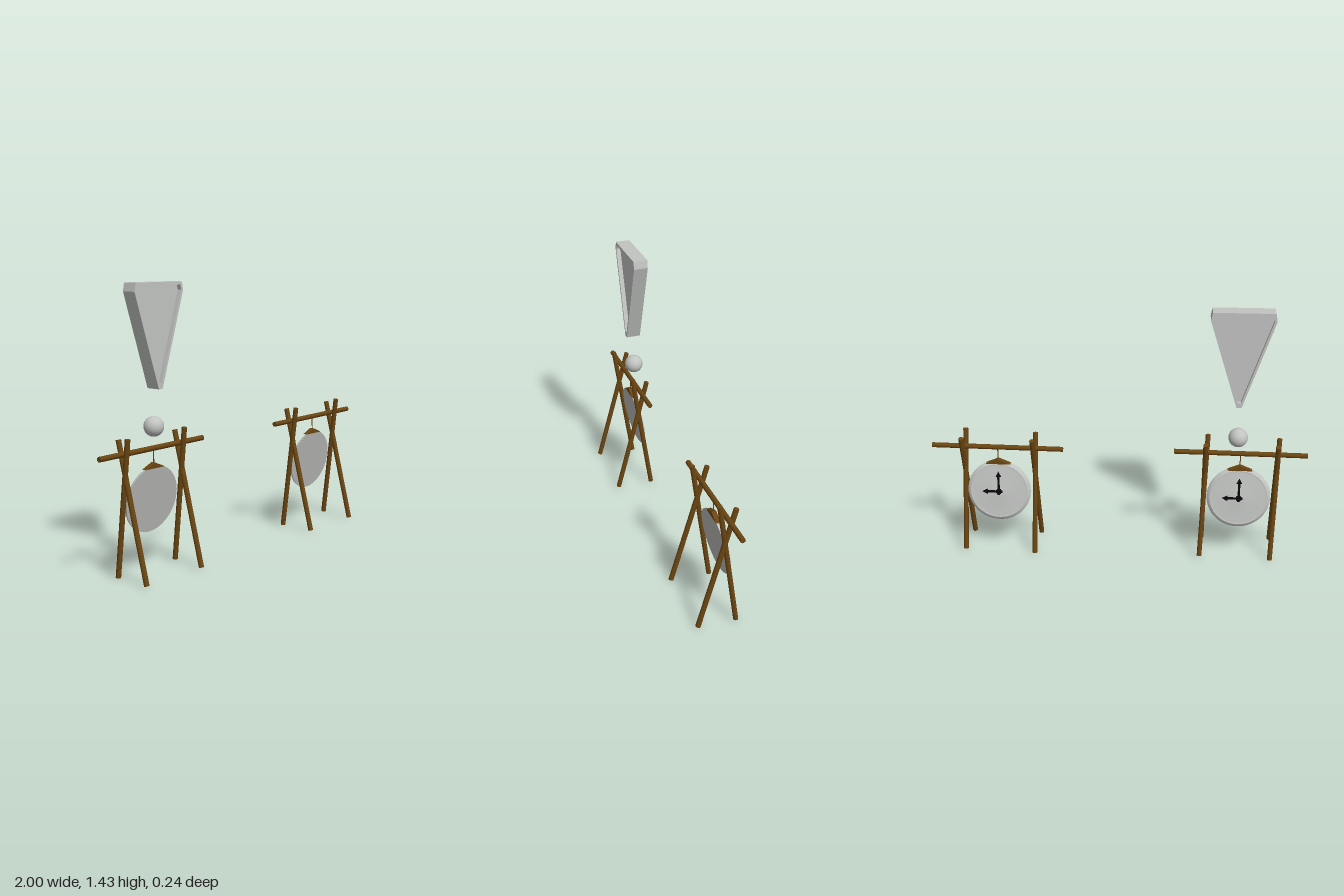
import * as THREE from 'three';

const wood = new THREE.MeshStandardMaterial({ name: 'brown wood', color: 0x6b4612 });
const grey = new THREE.MeshStandardMaterial({ name: 'light grey', color: 0xc2c4c2 });
const faceGrey = new THREE.MeshStandardMaterial({ name: 'plate grey', color: 0xb8bab7 });
const black = new THREE.MeshStandardMaterial({ name: 'black', color: 0x080808 });

function mesh(name, geometry, material, parent) {
  const m = new THREE.Mesh(geometry, material);
  m.name = name;
  parent.add(m);
  return m;
}

// Round pole between two points
function pole(name, a, b, radius, parent, sides = 10) {
  const start = new THREE.Vector3(...a), end = new THREE.Vector3(...b);
  const dir = end.clone().sub(start);
  const m = mesh(name, new THREE.CylinderGeometry(radius, radius, dir.length(), sides), wood, parent);
  m.position.copy(start).add(end).multiplyScalar(0.5);
  m.quaternion.setFromUnitVectors(new THREE.Vector3(0, 1, 0), dir.normalize());
}

function polygon(points) {
  return new THREE.Shape(points.map(([x, y]) => new THREE.Vector2(x, y)));
}

function extrude(shape, depth) {
  return new THREE.ExtrudeGeometry(shape, { depth, bevelEnabled: false });
}

// Arrow-tipped clock hand pointing along +y
function hand(name, length, parent) {
  const w = 0.006, t = length - 0.03;
  const shape = polygon([[-w, -0.02], [w, -0.02], [w, t], [0.015, t], [0, length], [-0.015, t], [-w, t]]);
  const m = mesh(name, extrude(shape, 0.004), black, parent);
  m.position.z = -0.031;
  return m;
}

// Round clock plate: flat at the front, dial towards the back
function createClock() {
  const clock = new THREE.Group();
  clock.name = 'clock';
  mesh('clockPlate', new THREE.CircleGeometry(0.171, 48), faceGrey, clock);
  const lathe = (name, pts) => {
    const g = new THREE.LatheGeometry(pts.map(([x, y]) => new THREE.Vector2(x, y)), 48);
    mesh(name, g, grey, clock).rotation.x = -Math.PI / 2;
  };
  lathe('clockRim', [[0.171, 0], [0.17, 0.01], [0.154, 0.018]]);
  lathe('clockDial', [[0.154, 0.018], [0.145, 0.016], [0.06, 0.02], [0.03, 0.024], [0, 0.025]]);
  hand('minuteHand', 0.115, clock);
  hand('hourHand', 0.09, clock).rotation.z = -Math.PI / 2;
  const hub = mesh('handHub', new THREE.CylinderGeometry(0.016, 0.016, 0.01, 16), black, clock);
  hub.rotation.x = Math.PI / 2;
  hub.position.z = -0.028;
  clock.rotation.x = 0.146;
  clock.position.set(0, 0.372, -0.052);
  return clock;
}

// Crossed-pole stand with a hanging clock
function createStand(x) {
  const stand = new THREE.Group();
  stand.name = 'clockStand';
  const r = 0.0135;
  pole('crossbar', [-0.352, 0.625, -0.04], [0.352, 0.632, -0.04], r, stand);
  pole('backLeg', [-0.187, 0.006, -0.104], [-0.203, 0.703, -0.004], r, stand);
  pole('frontLeg', [-0.199, 0.01, 0.106], [-0.192, 0.692, -0.08], r, stand);
  pole('backLeg', [0.199, 0.014, -0.094], [0.174, 0.714, 0.004], r, stand);
  pole('frontLeg', [0.184, 0.01, 0.104], [0.187, 0.692, -0.076], r, stand);
  pole('hangingCord', [0, 0.545, -0.038], [0, 0.625, -0.04], 0.003, stand, 6);
  const bracket = mesh('hangingBracket', extrude(polygon([[-0.066, 0], [0.066, 0], [0, 0.028]]), 0.026), wood, stand);
  bracket.position.set(0, 0.53, -0.053);
  stand.add(createClock());
  stand.position.x = x;
  return stand;
}

// Tapered frame, recessed on both faces, above a ball
function createMarker() {
  const marker = new THREE.Group();
  marker.name = 'marker';
  const outer = [[-0.012, 0.918], [0.014, 0.918], [0.021, 0.94], [0.163, 1.39], [0.155, 1.432], [-0.155, 1.432], [-0.163, 1.39], [-0.019, 0.94]];
  const inner = [[-0.008, 0.944], [0.01, 0.944], [0.151, 1.392], [0.143, 1.416], [-0.143, 1.416], [-0.151, 1.392]];
  const frameShape = polygon(outer);
  frameShape.holes.push(polygon(inner));
  mesh('taperedFrame', extrude(frameShape, 0.078), grey, marker).position.z = -0.088;
  mesh('framePanel', extrude(polygon(inner), 0.03), grey, marker).position.z = -0.064;
  const ball = mesh('ball', new THREE.SphereGeometry(0.051, 32, 20), grey, marker);
  ball.position.set(-0.006, 0.732, -0.055);
  marker.position.x = -0.622;
  return marker;
}

export function createModel() {
  const model = new THREE.Group();
  model.name = 'hangingClocks';
  model.add(createStand(-0.648), createStand(0.648), createMarker());
  return model;
}
